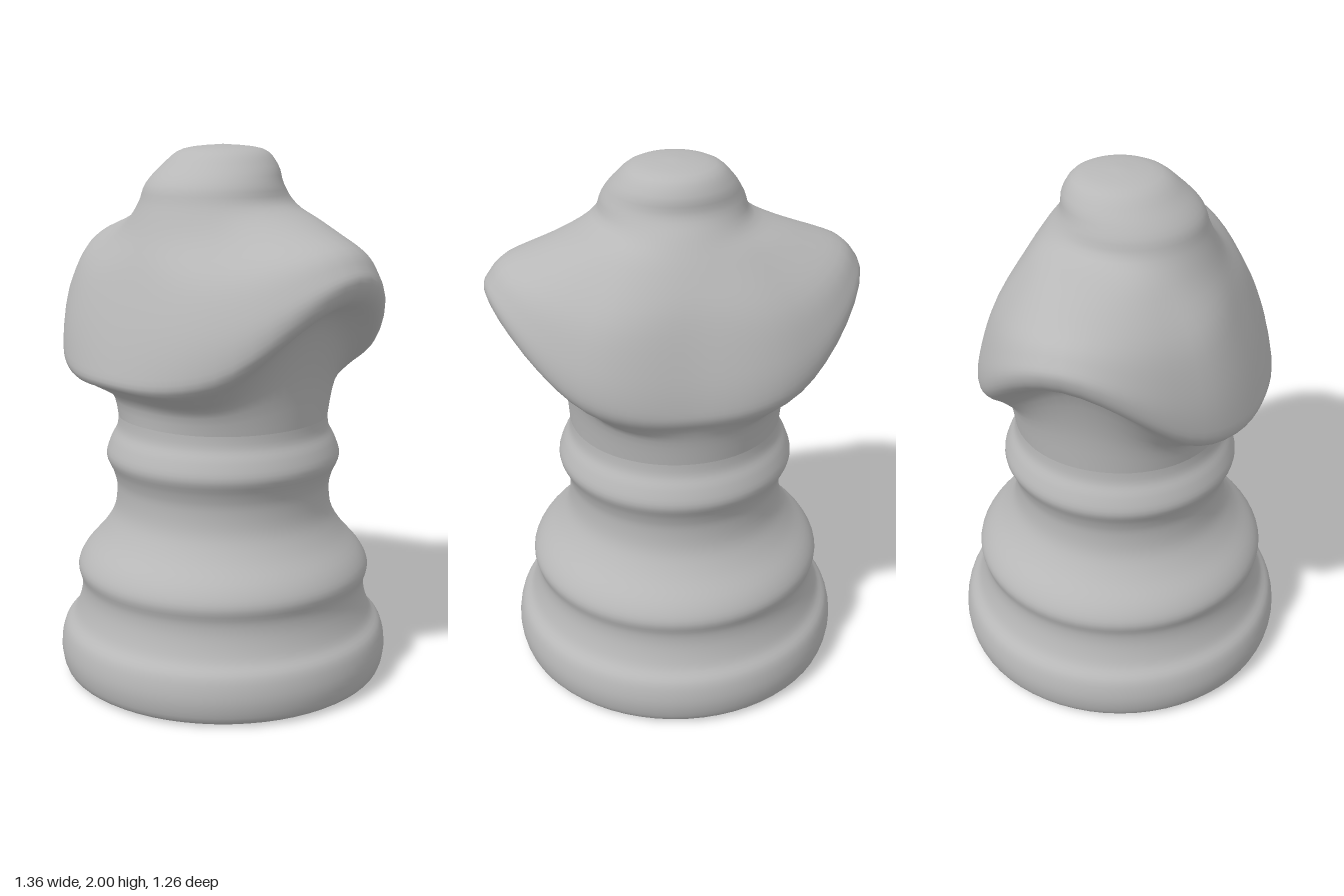
import * as THREE from 'three';
import { mergeVertices } from 'three/addons/utils/BufferGeometryUtils.js';

const V = (x, y) => new THREE.Vector2(x, y);

// Half-outlines of the shoulders [radius, height, ...], one every 45 degrees from front to back.
// Each runs from the neck of the pedestal, under the rim, over the rim and up to the collar.
const front = [.41, 1.09, .49, 1.15, .55, 1.18, .54, 1.25, .49, 1.4, .42, 1.57, .36, 1.69];
const frontCorner = [.42, 1.1, .5, 1.16, .59, 1.22, .6, 1.3, .57, 1.42, .5, 1.56, .38, 1.69];
const side = [.42, 1.2, .5, 1.41, .64, 1.49, .68, 1.56, .66, 1.61, .6, 1.67, .44, 1.73];
const backCorner = [.42, 1.13, .47, 1.19, .54, 1.25, .56, 1.32, .54, 1.43, .48, 1.57, .35, 1.72];
const back = [.41, 1.1, .43, 1.16, .455, 1.2, .46, 1.25, .44, 1.37, .385, 1.56, .32, 1.69];
const outlines = [front, frontCorner, side, backCorner, back];

// Smooth blend between the outlines around a full turn, mirrored left to right
function shoulderPoints(angle) {
  const u = angle / (Math.PI / 4), i = Math.floor(u), t = u - i;
  const [a, b, c, d] = [-1, 0, 1, 2].map(o => {
    const j = (i + o + 8) % 8;
    return outlines[j > 4 ? 8 - j : j];
  });
  const blend = k => b[k] + .5 * t * (c[k] - a[k]
    + t * (2 * a[k] - 5 * b[k] + 4 * c[k] - d[k] + t * (3 * (b[k] - c[k]) + d[k] - a[k])));
  const points = [];
  for (let k = 0; k < front.length; k += 2) points.push(V(blend(k), blend(k + 1)));
  return points;
}

// Rounded stump of the neck, pushed a little forward
function neckPoints(angle) {
  const f = Math.cos(angle);
  return [
    V(.287 + .03 * f, 1.79), V(.25 + .042 * f, 1.86), V(.212 + .015 * f, 1.925),
    V(.145, 1.983), V(0, 2),
  ];
}

function bustGeometry(sides = 64, rows = 48) {
  const pos = [], idx = [];
  for (let s = 0; s < sides; s++) {
    const angle = s / sides * Math.PI * 2;
    const curve = new THREE.SplineCurve([V(.395, 1), ...shoulderPoints(angle), ...neckPoints(angle)]);
    for (const p of curve.getPoints(rows)) {
      pos.push(p.x * Math.sin(angle), p.y, p.x * Math.cos(angle));
    }
  }
  const at = (s, r) => (s % sides) * (rows + 1) + r;
  for (let s = 0; s < sides; s++) {
    for (let r = 0; r < rows; r++) {
      const a = at(s, r), b = at(s + 1, r), c = at(s + 1, r + 1), d = at(s, r + 1);
      idx.push(a, b, d);
      if (r < rows - 1) idx.push(b, c, d);
    }
  }
  const shell = new THREE.BufferGeometry();
  shell.setAttribute('position', new THREE.Float32BufferAttribute(pos, 3));
  shell.setIndex(idx);
  const geometry = mergeVertices(shell, 1e-5);
  geometry.computeVertexNormals();
  return geometry;
}

export function createModel() {
  const group = new THREE.Group();
  group.name = 'bustOnPedestal';
  const stone = new THREE.MeshStandardMaterial({ color: 0xb8b8b8 });
  stone.name = 'grey stone';
  const add = (name, geometry) => {
    const mesh = new THREE.Mesh(geometry, stone);
    mesh.name = name;
    group.add(mesh);
  };

  // Turned pedestal with three rounded rings
  const outline = new THREE.SplineCurve([
    V(.58, 0), V(.615, .025), V(.63, .1), V(.615, .18), V(.575, .23), V(.55, .3), V(.545, .36),
    V(.558, .42), V(.53, .48), V(.46, .56), V(.415, .64), V(.405, .73), V(.418, .79),
    V(.442, .85), V(.425, .91), V(.4, .96), V(.395, 1.02),
  ]);
  add('pedestal', new THREE.LatheGeometry(outline.getPoints(64), 64));

  // Flat underside
  add('pedestalBottom', new THREE.CircleGeometry(.58, 64).rotateX(Math.PI / 2));

  // Chest, shoulders and rounded neck stump
  add('bust', bustGeometry());
  return group;
}
